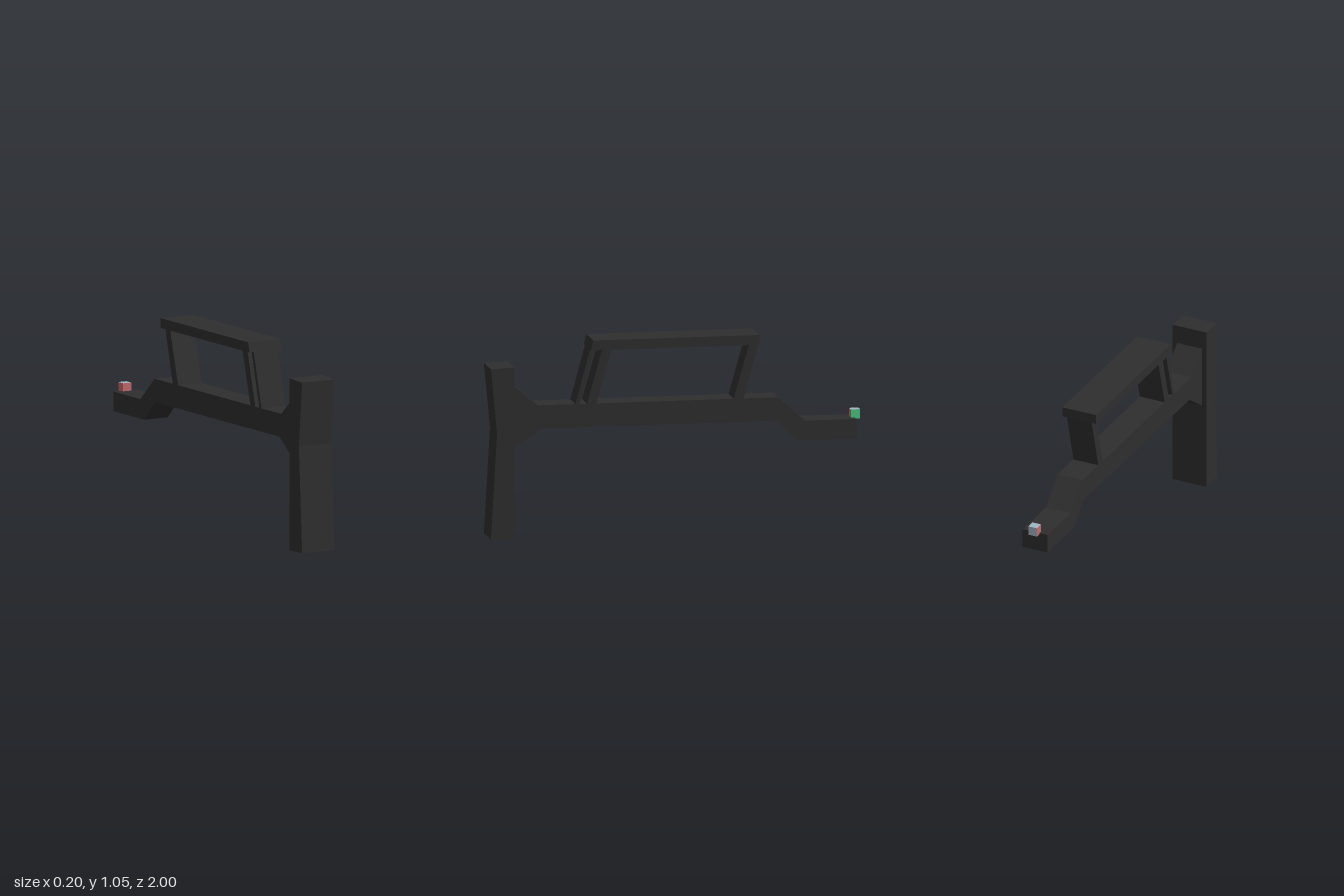
import * as THREE from 'three';

const mat = (name, color) => {
  const m = new THREE.MeshStandardMaterial({ color });
  m.name = name;
  return m;
};

export function createModel() {
  const group = new THREE.Group();
  const black = mat('matte black', 0x2e2e2e);
  const green = mat('marker green', 0x45c880);
  const red = mat('marker red', 0xc4686c);
  const pale = mat('marker pale blue', 0x9fb6c4);

  // Side profile of [z, y] points, extruded across x and centred
  function addProfile(name, points, width) {
    const shape = new THREE.Shape(points.map(([z, y]) => new THREE.Vector2(-z, y)));
    const geo = new THREE.ExtrudeGeometry(shape, { depth: width, bevelEnabled: false });
    geo.translate(0, 0, -width / 2);
    geo.rotateY(Math.PI / 2);
    const mesh = new THREE.Mesh(geo, black);
    mesh.name = name;
    group.add(mesh);
  }

  // Tall shoulder plate with a slightly hollowed front
  addProfile('buttPlate', [
    [1, 0.003], [0.872, 0], [0.872, 0.922], [1, 0.917], [0.967, 0.57],
  ], 0.2);

  // Long beam, flared at the plate and stepped down at the rear
  addProfile('beam', [
    [0.872, 0.82], [0.742, 0.71], [-0.552, 0.71], [-0.695, 0.58], [-0.97, 0.58],
    [-0.97, 0.475], [-0.657, 0.475], [-0.542, 0.585], [0.722, 0.585], [0.872, 0.48],
  ], 0.146);

  // Cheek rest bar
  addProfile('topRest', [
    [0.449, 1.053], [0.462, 1.0], [-0.444, 1.0], [-0.444, 1.053],
  ], 0.2);

  // Leaning struts: bottom front, bottom back, top front, top back (z)
  const struts = [
    ['frontThinStrut', 0.541, 0.519, 0.461, 0.438],
    ['frontStrut', 0.478, 0.428, 0.396, 0.344],
    ['rearStrut', -0.31, -0.364, -0.394, -0.443],
  ];
  for (const [name, b0, b1, t0, t1] of struts) {
    addProfile(name, [[b0, 0.708], [b1, 0.708], [t1, 1.002], [t0, 1.002]], 0.146);
  }

  // Small marker cube at the rear end
  const cube = new THREE.Mesh(
    new THREE.BoxGeometry(0.05, 0.05, 0.05),
    [green, red, pale, green, red, pale],
  );
  cube.position.set(0, 0.598, -0.975);
  cube.name = 'rearMarkerCube';
  group.add(cube);

  return group;
}
